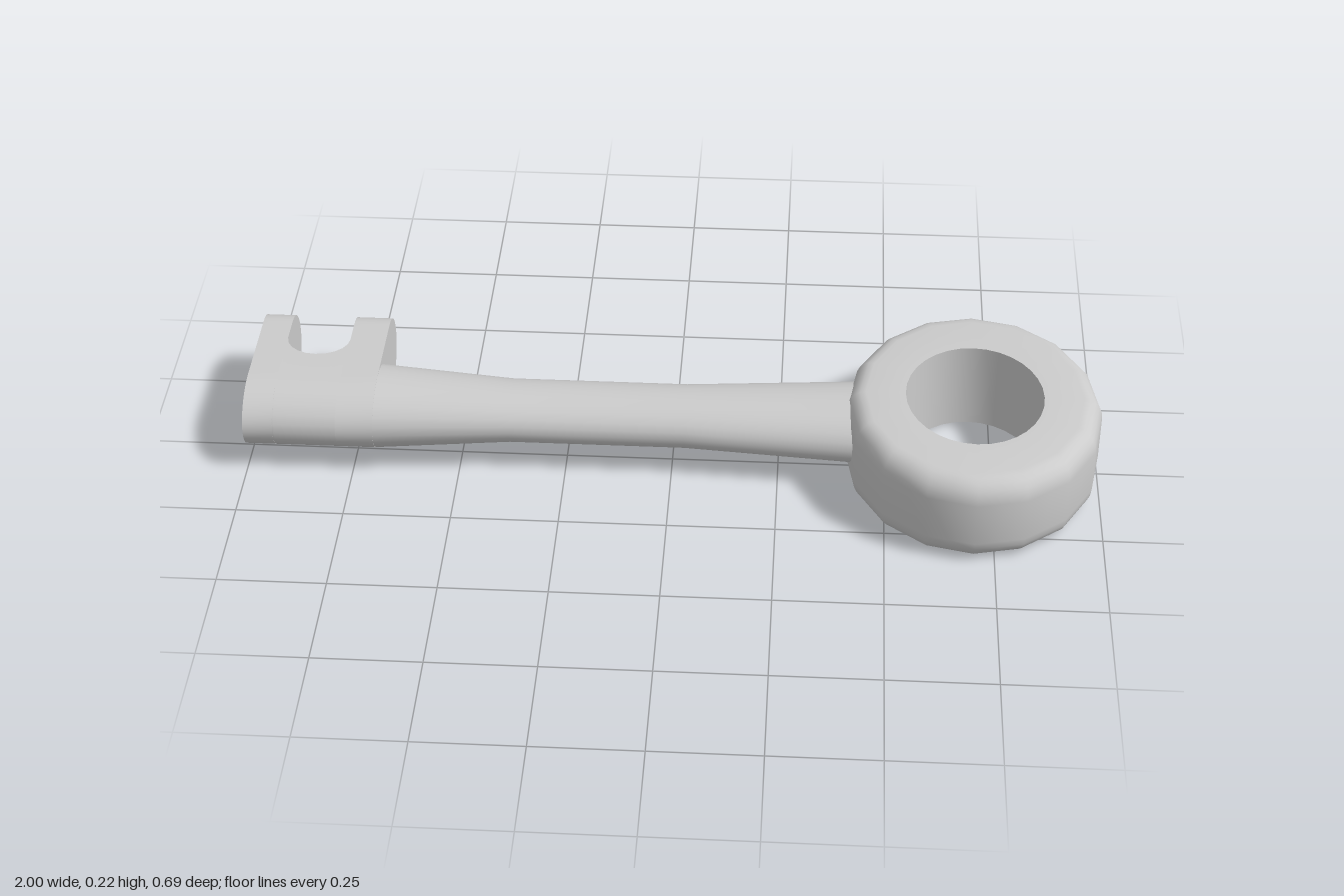
import * as THREE from 'three';
import { toCreasedNormals } from 'three/addons/utils/BufferGeometryUtils.js';

const CY = 0.1175, CZ = -0.018; // centre line of the shaft
const RZ = 0.122, RY = 0.083;   // half sizes of the shaft at its bit end

const material = new THREE.MeshStandardMaterial({ color: 0xcccccc });

function part(name, geometry, crease = 0.7) {
  const mesh = new THREE.Mesh(toCreasedNormals(geometry, crease), material);
  mesh.name = name;
  return mesh;
}

// Skin closed sections [z, y], counter-clockwise seen from +x, at rising x
function loft(stations) {
  const pos = [], index = [], n = stations[0].points.length;
  stations.forEach(({ x, points }, i) => {
    points.forEach(([z, y], j) => {
      pos.push(x, y, z);
      if (i === stations.length - 1) return;
      const a = i * n + j, b = i * n + (j + 1) % n;
      index.push(a, b, b + n, a, b + n, a + n);
    });
  });
  const g = new THREE.BufferGeometry();
  g.setAttribute('position', new THREE.Float32BufferAttribute(pos, 3));
  g.setIndex(index);
  return g;
}

// Points of an elliptical arc around the shaft's centre line
function arc(rz, ry, from, to, steps) {
  return Array.from({ length: steps + 1 }, (_, k) => {
    const t = from + (to - from) * k / steps;
    return [CZ - rz * Math.cos(t), CY + ry * Math.sin(t)];
  });
}

// Oval ring: rounded 16-sided rim, smooth hole with sharp edges
function ringGeometry() {
  const hole = 0.54, bottom = 0.002, top = 0.22, br = 0.15, bh = 0.055;
  const profile = [new THREE.Vector2(hole, bottom)];
  for (let k = 0; k <= 5; k++) {
    const t = k / 5 * Math.PI / 2;
    profile.push(new THREE.Vector2(1 - br + br * Math.sin(t), bottom + bh - bh * Math.cos(t)));
  }
  for (let k = 0; k <= 5; k++) {
    const t = k / 5 * Math.PI / 2;
    profile.push(new THREE.Vector2(1 - br + br * Math.cos(t), top - bh + bh * Math.sin(t)));
  }
  profile.push(new THREE.Vector2(hole, top), new THREE.Vector2(hole, bottom));
  const g = new THREE.LatheGeometry(profile, 32);
  // Pull every second column of the rim onto the straight sides
  const p = g.attributes.position;
  for (let i = 0; i < p.count; i++) {
    const odd = Math.floor(i / profile.length) % 2;
    if (odd && Math.hypot(p.getX(i), p.getZ(i)) > hole + 0.01) {
      const s = Math.cos(Math.PI / 16);
      p.setXYZ(i, p.getX(i) * s, p.getY(i), p.getZ(i) * s);
    }
  }
  g.scale(0.297, 1, 0.346);
  g.translate(0.702, 0, 0);
  return g;
}

// Tooth: the shaft's section stretched backwards to a round tip
function toothGeometry(x0, x1) {
  const shape = new THREE.Shape();
  shape.absellipse(0.232, CY, RY, RY, -Math.PI / 2, Math.PI / 2);
  shape.absellipse(-CZ, CY, RZ, RY, Math.PI / 2, Math.PI * 1.5);
  const g = new THREE.ExtrudeGeometry(shape, { depth: x1 - x0, bevelEnabled: false, curveSegments: 12 });
  g.rotateY(Math.PI / 2);
  g.translate(x0, 0, 0);
  return g;
}

export function createModel() {
  const key = new THREE.Group();
  key.name = 'key';

  key.add(part('ring', ringGeometry()));

  // Shaft, waisted in the middle and running into the ring
  const shaft = [
    [-0.7, RZ, RY], [-0.38, 0.093, 0.0625], [0.03, 0.093, 0.0625], [0.48, 0.122, 0.081],
  ].map(([x, rz, ry]) => ({ x, points: arc(rz, ry, 0, Math.PI * 2, 24).slice(0, -1) }));
  key.add(part('shaft', loft(shaft)));

  // Two teeth
  key.add(part('outerTooth', toothGeometry(-1, -0.93)));
  key.add(part('innerTooth', toothGeometry(-0.78, -0.695)));

  // Piece between the teeth, hollowed by a round-bottomed notch
  const bridge = [];
  for (let k = 0; k <= 10; k++) {
    const t = Math.PI * (1 - k / 10);
    const cut = -0.165 + 0.063 * Math.sin(t);
    bridge.push({
      x: -0.855 + 0.075 * Math.cos(t),
      points: [[cut, CY - RY], [cut, CY + RY], ...arc(RZ, RY, Math.PI / 2, Math.PI * 1.5, 12)],
    });
  }
  key.add(part('notchBridge', loft(bridge)));

  return key;
}
